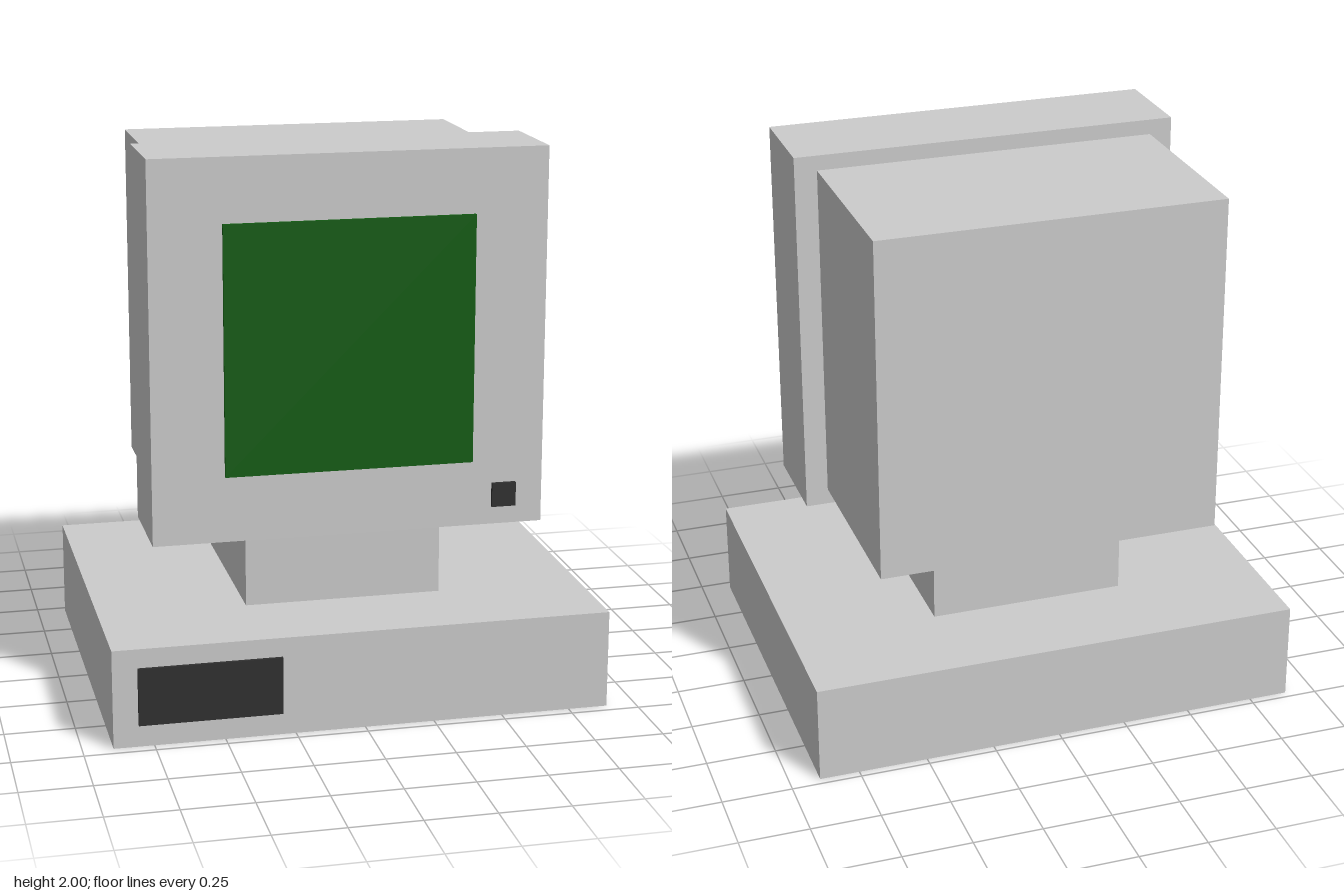
import * as THREE from 'three';

const grey = new THREE.MeshStandardMaterial({ color: 0xcccccc });
const dark = new THREE.MeshStandardMaterial({ color: 0x303030 });
const green = new THREE.MeshStandardMaterial({ color: 0x105c10 });

// Box given by its extents along each axis
function block(name, material, [x0, x1], [y0, y1], [z0, z1]) {
  const mesh = new THREE.Mesh(new THREE.BoxGeometry(x1 - x0, y1 - y0, z1 - z0), material);
  mesh.position.set((x0 + x1) / 2, (y0 + y1) / 2, (z0 + z1) / 2);
  mesh.name = name;
  return mesh;
}

export function createModel() {
  const model = new THREE.Group();
  model.name = 'desktopComputer';

  // Flat desktop case with a disk drive on its front
  const computer = new THREE.Group();
  computer.name = 'computer';
  computer.add(
    block('case', grey, [-0.893, 0.893], [0, 0.357], [-0.722, 0.71]),
    block('diskDrive', dark, [-0.805, -0.297], [0.08, 0.288], [0.69, 0.722]),
  );

  // Monitor: stand, deep rear housing, wider front bezel, screen and button
  const monitor = new THREE.Group();
  monitor.name = 'monitor';
  monitor.add(
    block('stand', grey, [-0.358, 0.358], [0.357, 0.72], [-0.36, 0.357]),
    block('rearHousing', grey, [-0.625, 0.625], [0.695, 1.945], [-0.612, 0.2]),
    block('bezel', grey, [-0.707, 0.707], [0.637, 2], [0.105, 0.463]),
    block('screen', green, [-0.449, 0.446], [0.875, 1.77], [0.45, 0.474]),
    block('powerButton', dark, [0.52, 0.608], [0.703, 0.791], [0.45, 0.476]),
  );

  model.add(computer, monitor);
  return model;
}
